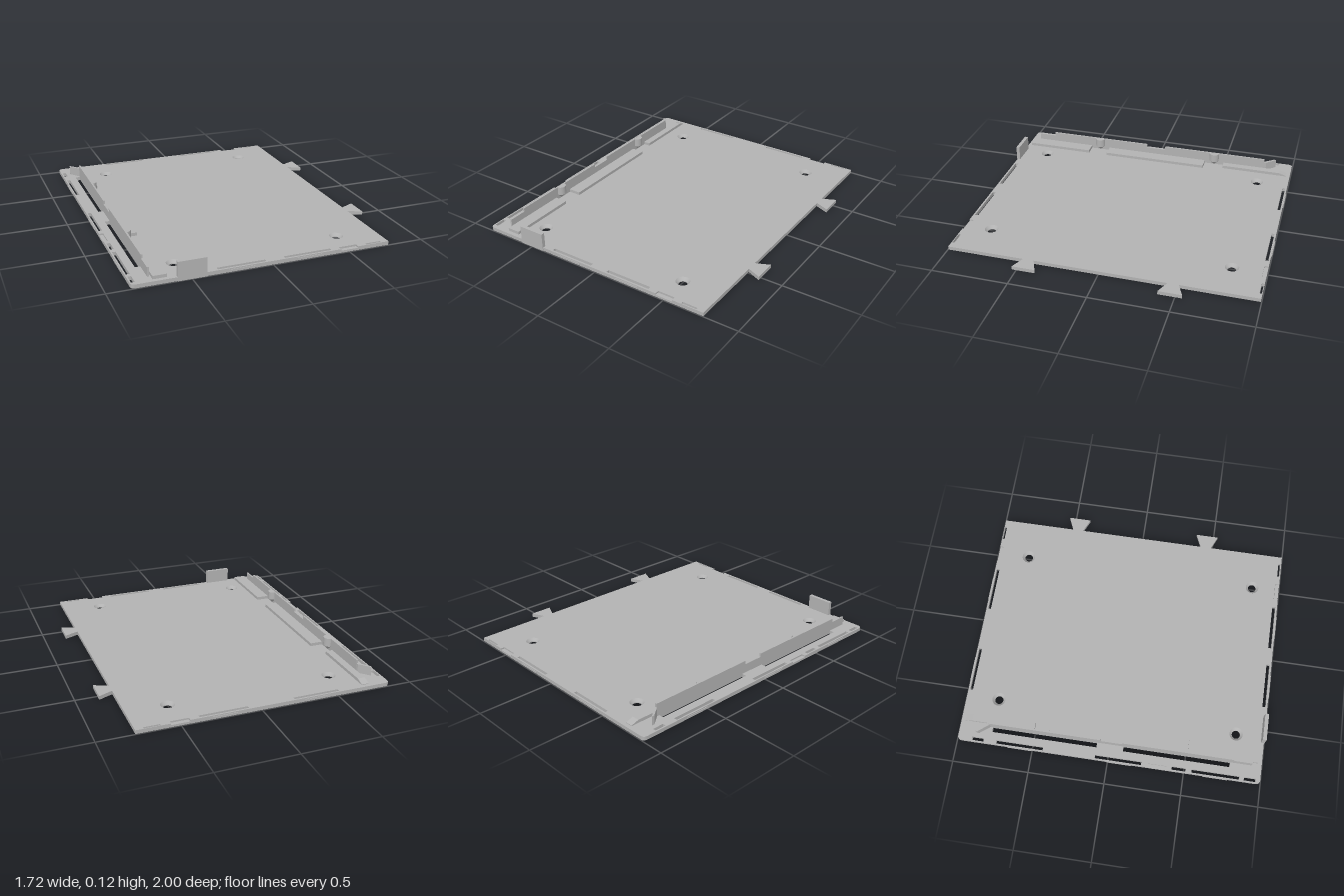
import * as THREE from 'three';

const T = 0.024; // panel thickness

export function createModel() {
  const group = new THREE.Group();
  const grey = new THREE.MeshStandardMaterial({ color: 0xb2b2b2 });
  const add = (name, geo) => {
    const m = new THREE.Mesh(geo, grey);
    m.name = name;
    group.add(m);
    return m;
  };
  // box given by its limits
  const box = (name, x0, x1, y0, y1, z0, z1) =>
    add(name, new THREE.BoxGeometry(x1 - x0, y1 - y0, z1 - z0)
      .translate((x0 + x1) / 2, (y0 + y1) / 2, (z0 + z1) / 2));
  // outline in (x, z) raised from y0 to y1
  const raise = (shape, y0, y1) =>
    new THREE.ExtrudeGeometry(shape, { depth: y1 - y0, bevelEnabled: false, curveSegments: 20 })
      .rotateX(-Math.PI / 2).translate(0, y0, 0);
  const outline = pts => new THREE.Shape(pts.map(([x, z]) => new THREE.Vector2(x, -z)));
  // outline in (z, y) extruded across x0..x1
  const side = (pts, x0, x1) =>
    new THREE.ExtrudeGeometry(new THREE.Shape(pts.map(p => new THREE.Vector2(...p))),
      { depth: x1 - x0, bevelEnabled: false }).rotateY(-Math.PI / 2).translate(x1, 0, 0);

  // panel outline with edge notches, two rounded corners
  const L = -0.86, R = 0.77, E = 0.996;
  const panel = new THREE.Shape();
  panel.moveTo(R, -E);
  panel.lineTo(R, E);
  for (const [x, z] of [[0.56, E], [0.56, 0.97], [0.445, 0.97], [0.445, E]]) panel.lineTo(x, z);
  panel.lineTo(L + 0.03, E);
  panel.quadraticCurveTo(L + 0.004, E, L + 0.004, E - 0.03);
  for (const [x, z] of [[L + 0.004, -0.265], [-0.83, -0.265], [-0.83, -0.385], [L + 0.004, -0.385]]) panel.lineTo(x, z);
  panel.lineTo(L + 0.004, -E + 0.03);
  panel.quadraticCurveTo(L + 0.004, -E, L + 0.03, -E);
  for (const [x, z] of [[0.445, -E], [0.445, -0.967], [0.56, -0.967], [0.56, -E]]) panel.lineTo(x, z);

  // through slots: x0, x1, z0, z1
  const slots = [
    [-0.51, -0.215, -0.985, -0.966], [0.08, 0.385, -0.985, -0.966], [0.62, 0.72, -0.992, -0.979],
    [-0.34, -0.04, 0.963, 0.984], [0.08, 0.385, 0.963, 0.984], [0.62, 0.72, 0.976, 0.99],
    [-0.775, -0.724, -0.78, -0.085], [-0.775, -0.724, 0.09, 0.79],
  ];
  for (const [a, b] of [[-0.9, -0.825], [-0.74, -0.43], [-0.085, 0.22], [0.42, 0.51], [0.55, 0.86], [0.89, 0.965]])
    slots.push([-0.847, -0.825, a, b]);
  for (const [x0, x1, z0, z1] of slots)
    panel.holes.push(new THREE.Path(
      [[x0, -z0], [x1, -z0], [x1, -z1], [x0, -z1]].map(p => new THREE.Vector2(...p))));

  // screw holes with countersinks
  for (const x of [-0.55, 0.51]) for (const z of [-0.78, 0.81]) {
    const hole = new THREE.Path();
    hole.absarc(x, -z, 0.044, 0, Math.PI * 2, true);
    panel.holes.push(hole);
    const ring = [[0.044, 0], [0.027, 0], [0.027, 0.005], [0.044, T]].map(p => new THREE.Vector2(...p));
    // each profile edge is lathed alone so its rims stay sharp
    for (let i = 0; i < 3; i++) {
      const g = new THREE.LatheGeometry([ring[i + 1], ring[i]], 40);
      const m = add('countersink', g.translate(x, 0, z));
      m.material = sinkMaterial(grey);
    }
  }
  add('panel', raise(panel, 0, T));

  // thin floors left in the edge notches
  box('notchFloor', 0.445, 0.56, 0, 0.014, -E, -0.967);
  box('notchFloor', 0.445, 0.56, 0, 0.014, 0.97, E);
  box('notchFloor', L + 0.004, -0.83, 0, 0.014, 0.265, 0.385);

  // snap nubs along three edges
  for (const [x0, x1] of [[-0.44, -0.28], [0.155, 0.315]]) box('backNub', x0, x1, 0.005, 0.017, -1, -0.99);
  for (const [x0, x1] of [[-0.275, -0.115], [0.155, 0.315]]) box('frontNub', x0, x1, 0.005, 0.017, 0.99, 1);
  for (const [z0, z1] of [[-0.665, -0.505], [-0.005, 0.155], [0.625, 0.785]])
    box('sideNub', L, L + 0.01, 0.005, 0.017, z0, z1);

  // dovetail tabs on the left edge
  for (const z of [-0.469, 0.453])
    add('dovetailTab', raise(outline([[R - 0.005, z - 0.033], [R - 0.005, z + 0.033], [0.86, z + 0.075], [0.86, z - 0.075]]), 0, T));

  // upright rail with stepped top
  const lo = 0.083, hi = 0.107;
  add('rail', side([[-0.8, 0.002], [0.93, 0.002], [0.93, lo], [0.81, lo], [0.81, hi], [0.08, hi],
    [0.08, lo], [-0.06, lo], [-0.06, hi], [-0.8, hi]], -0.743, -0.732));
  add('railWing', raise(outline([[-0.795, -0.88], [-0.735, -0.815], [-0.732, -0.795], [-0.743, -0.795], [-0.797, -0.865]]), 0.02, lo));

  // rounded rail clips, tapered underneath
  for (const z of [-0.432, 0.445]) {
    const bump = new THREE.Shape();
    bump.absarc(-0.735, -z, 0.035, -Math.PI / 2, Math.PI / 2, false);
    add('railClip', raise(bump, 0.05, hi));
    add('clipTaper', new THREE.CylinderGeometry(0.035, 0.008, 0.026, 20, 1, false, 0, Math.PI)
      .translate(-0.735, 0.037, z));
  }

  // low ledges beside the rail
  box('ledge', -0.724, -0.64, T - 0.005, 0.044, 0.51, 0.97);
  box('ledge', -0.724, -0.64, T - 0.005, 0.044, -0.365, 0.37);
  add('rampLedge', side([[-0.97, 0.019], [-0.505, 0.019], [-0.505, 0.044], [-0.92, 0.044], [-0.97, 0.028]], -0.724, -0.677));

  // tall tab on the front edge
  box('frontTab', -0.585, -0.41, 0, 0.12, 0.976, 1);
  return group;
}

// countersink rings are open strips, so they share one two-sided material
let sink;
function sinkMaterial(base) {
  if (!sink) {
    sink = base;
    sink.side = THREE.DoubleSide;
  }
  return sink;
}
